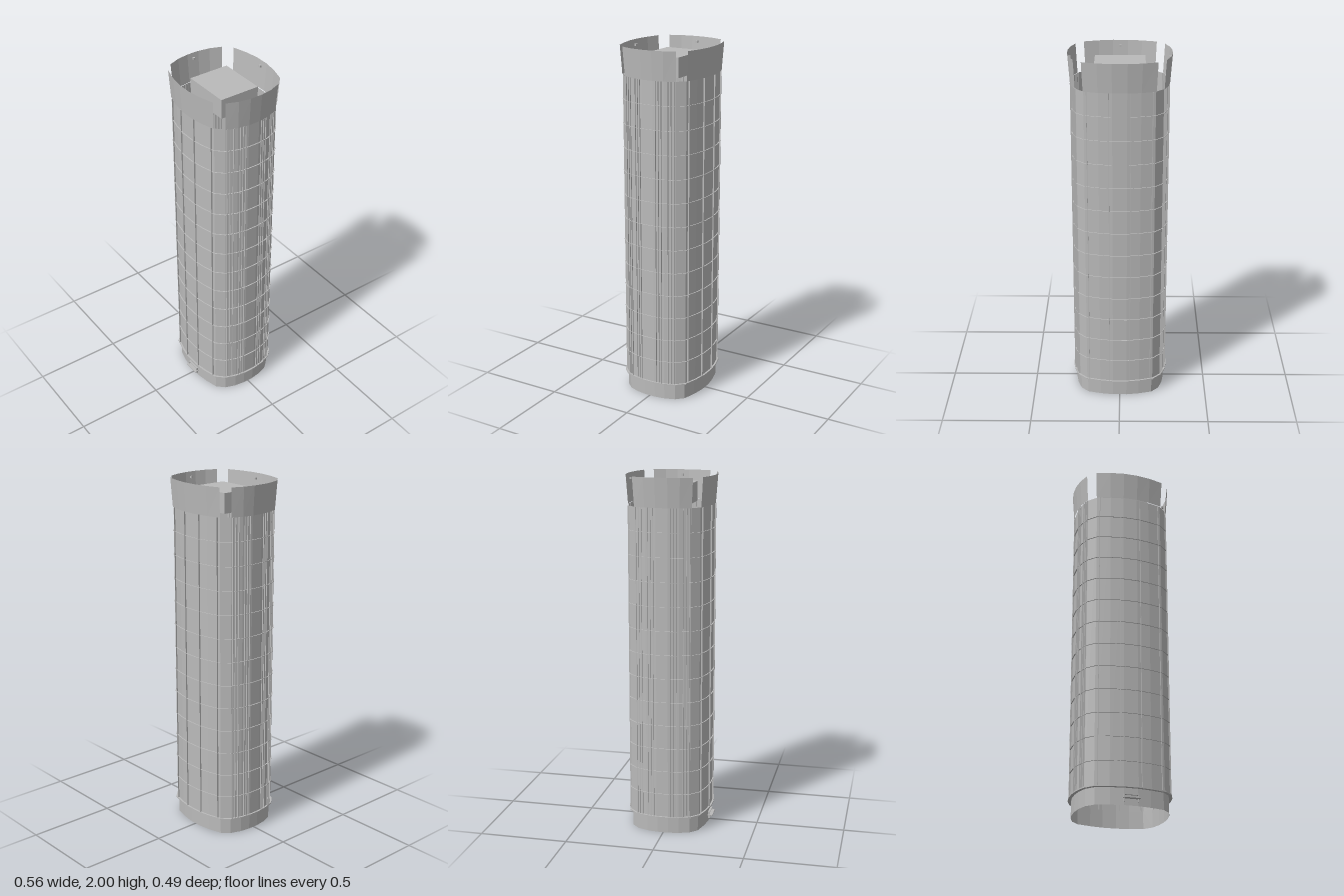
import * as THREE from 'three';

const concrete = new THREE.MeshStandardMaterial({ color: 0xbababa, side: THREE.DoubleSide, flatShading: true });
concrete.name = 'grey concrete';

const Z0 = -0.003; // plan centre in z

// One quarter of the rounded plan, from the side to the front
const QUARTER = [[0.268, 0.033], [0.258, 0.095], [0.235, 0.157], [0.193, 0.2], [0.115, 0.222], [0.04, 0.234]];

// Full closed plan, grown outwards by d
function plan(d = 0) {
  const q = QUARTER.map(([x, z]) => {
    const nx = x / 0.268 ** 2, nz = z / 0.234 ** 2, l = Math.hypot(nx, nz);
    return [x + d * nx / l, z + d * nz / l];
  });
  const r = [...q].reverse();
  return [
    ...q, ...r.map(([x, z]) => [-x, z]),
    ...q.map(([x, z]) => [-x, -z]), ...r.map(([x, z]) => [x, -z]),
  ];
}

// Wall strip between a lower and an upper outline
function wall(low, high, y0, y1, closed) {
  const pos = [], idx = [], n = low.length;
  for (let i = 0; i < n; i++) {
    pos.push(low[i][0], y0, low[i][1] + Z0, high[i][0], y1, high[i][1] + Z0);
  }
  for (let i = 0; i < (closed ? n : n - 1); i++) {
    const a = 2 * i, b = 2 * ((i + 1) % n);
    idx.push(a, a + 1, b, b, a + 1, b + 1);
  }
  const g = new THREE.BufferGeometry();
  g.setAttribute('position', new THREE.Float32BufferAttribute(pos, 3));
  g.setIndex(idx);
  g.computeVertexNormals();
  return g;
}

// Thin horizontal ring around the tower
function band(outer, inner, y, h) {
  const v = (p) => p.map(([x, z]) => new THREE.Vector2(x, -z));
  const s = new THREE.Shape(v(outer));
  s.holes.push(new THREE.Path(v(inner)));
  const g = new THREE.ExtrudeGeometry(s, { depth: h, bevelEnabled: false });
  g.rotateX(-Math.PI / 2);
  return g.translate(0, y, Z0);
}

// Distance of the plan edge at a given x (front) or z (side)
function edge(t, axis) {
  const pts = axis === 'z' ? [...QUARTER].reverse() : QUARTER.map(([x, z]) => [z, x]);
  const a = Math.abs(t);
  for (let i = 0; i < pts.length - 1; i++) {
    const [p, q] = [pts[i], pts[i + 1]];
    if (a <= q[0]) return p[1] + (q[1] - p[1]) * Math.max(0, (a - p[0]) / (q[0] - p[0]));
  }
  return pts[pts.length - 1][1];
}

export function createModel() {
  const model = new THREE.Group();
  const add = (name, geo, parent = model) => {
    const m = new THREE.Mesh(geo, concrete);
    m.name = name;
    parent.add(m);
    return m;
  };
  const group = (name) => {
    const g = new THREE.Group();
    g.name = name;
    model.add(g);
    return g;
  };
  const box = (name, w, h, d, x, y, z, parent) =>
    add(name, new THREE.BoxGeometry(w, h, d).translate(x, y, z), parent);

  // Base, ledge and shaft
  const body = plan(-0.005);
  add('base', wall(plan(-0.013), plan(-0.013), 0, 0.095, true));
  add('baseLedge', band(plan(0.005), plan(-0.013), 0.093, 0.007));
  add('shaft', wall(body, body, 0.1, 1.84, true));

  // Floor bands
  const floors = group('floorBands');
  for (let i = 1; i < 13; i++) {
    add('floorBand', band(plan(0.001), body, 0.1 + i * 0.134, 0.002), floors);
  }

  // Vertical fins on all four faces
  const fins = group('fins');
  for (const s of [-1, 1]) {
    for (const x of [-0.175, -0.058, 0.058, 0.175]) {
      box('fin', 0.003, 1.74, 0.012, x, 0.97, s * (edge(x, 'z') - 0.003) + Z0, fins);
    }
    for (const t of [0.048, 0.064, 0.08, 0.116, 0.132, 0.148]) {
      for (const z of [-t, t]) {
        box('fin', 0.01, 1.74, 0.003, s * (edge(z, 'x') - 0.003), 0.97, z + Z0, fins);
      }
    }
  }

  // Flared crown: four panels with open corners
  const crown = group('crown');
  const low = plan(0), high = plan(0.012);
  const pick = (p, start) => Array.from({ length: 6 }, (_, i) => p[(start + i) % 24]);
  for (const start of [3, 9, 15, 21]) {
    add('crownPanel', wall(pick(low, start), pick(high, start), 1.84, 2, false), crown);
  }

  // Small lamps inside the crown panels
  const lamps = group('crownLamps');
  for (const s of [-1, 1]) {
    box('lamp', 0.012, 0.012, 0.012, s * 0.27, 1.97, Z0, lamps);
    box('lamp', 0.012, 0.012, 0.012, 0, 1.97, s * 0.235 + Z0, lamps);
  }

  // Rooftop plant room
  box('plantRoom', 0.274, 0.11, 0.23, 0, 1.895, -0.005);

  // Entrance: canopy plate and door frame
  const entrance = group('entrance');
  box('canopy', 0.092, 0.004, 0.03, 0, 0.038, 0.228, entrance);
  for (const s of [-1, 1]) box('doorPost', 0.004, 0.04, 0.014, s * 0.038, 0.038, 0.222, entrance);
  box('lintel', 0.08, 0.004, 0.014, 0, 0.057, 0.222, entrance);

  return model;
}
